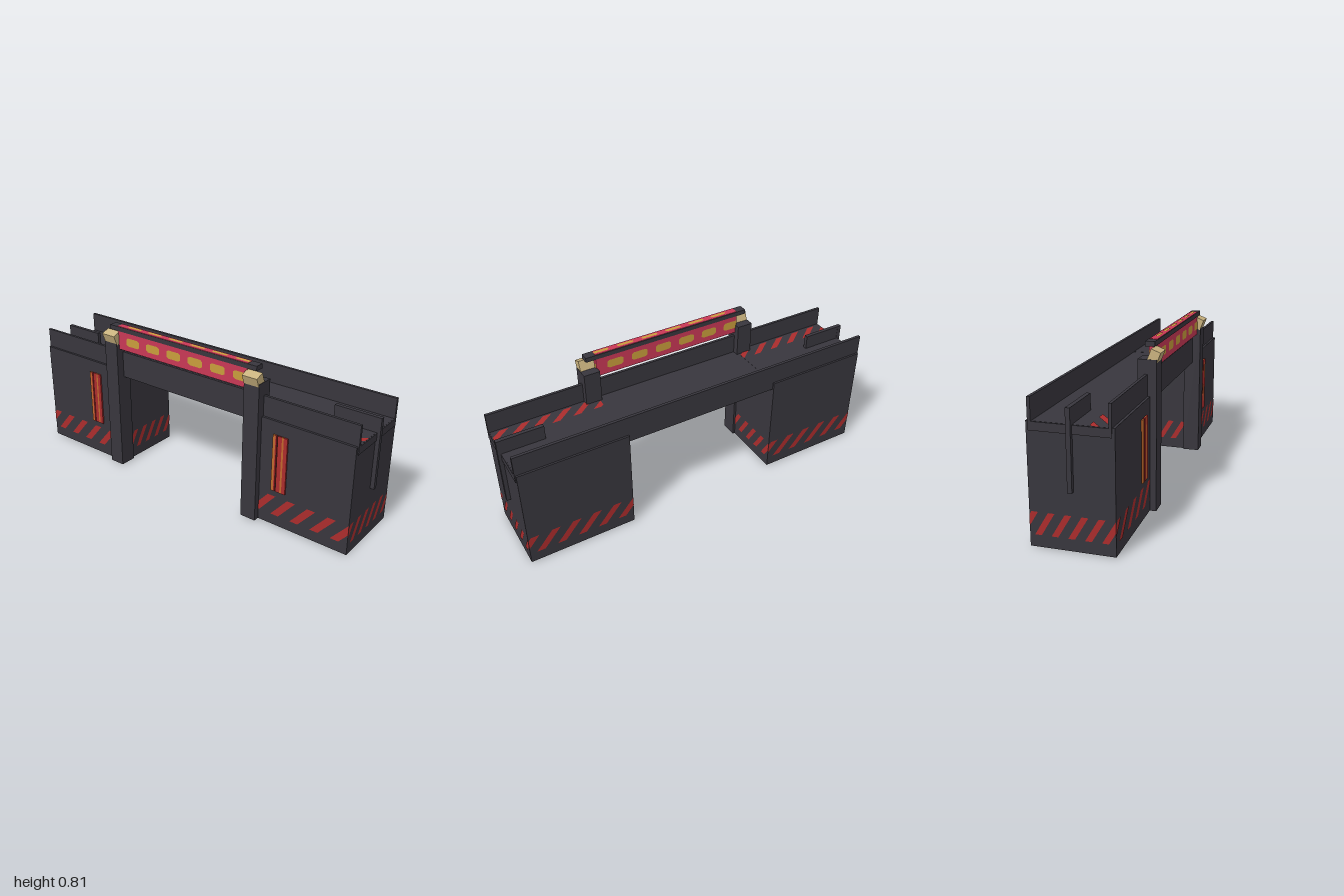
import * as THREE from 'three';

const mat = (name, color) => {
  const m = new THREE.MeshStandardMaterial({ color });
  m.name = name;
  return m;
};

// Keep the part of a polygon with u between 0 and 1
function clipU(poly) {
  for (const [edge, sign] of [[0, 1], [1, -1]]) {
    const out = [];
    poly.forEach((p, i) => {
      const q = poly[(i + 1) % poly.length];
      const dp = (p[0] - edge) * sign, dq = (q[0] - edge) * sign;
      if (dp >= 0) out.push(p);
      if (dp * dq < 0) {
        const t = dp / (dp - dq);
        out.push([edge, p[1] + (q[1] - p[1]) * t]);
      }
    });
    poly = out;
  }
  return poly;
}

// Slanted hazard stripes and sign dashes, in face coordinates from 0 to 1
const hazardStripes = [];
for (let k = -1; k < 5; k++) {
  const a = 0.061 + 0.195 * k;
  hazardStripes.push(clipU([[a, 0.1], [a + 0.078, 0.1], [a + 0.238, 0.288], [a + 0.16, 0.288]]));
}
const signDashes = [];
for (let k = 0; k < 6; k++) {
  const a = 0.073 + 0.166 * k, b = a + 0.107;
  signDashes.push(clipU([
    [a, 0.38], [a + 0.015, 0.3], [b - 0.015, 0.3], [b, 0.38],
    [b, 0.66], [b - 0.015, 0.74], [a + 0.015, 0.74], [a, 0.66],
  ]));
}

export function createModel() {
  const model = new THREE.Group();
  model.name = 'gateBridge';
  const dark = mat('charcoal', 0x38363d);
  const red = mat('hazardRed', 0xab2c2c);
  const crimson = mat('signCrimson', 0xc93856);
  const yellow = mat('signYellow', 0xc99d3c);
  const tan = mat('lampTan', 0xc9b27e);
  const orange = mat('trimOrange', 0xc0682c);

  // Box given by its minimum and maximum on each axis
  function box(name, material, x0, x1, y0, y1, z0, z1) {
    const mesh = new THREE.Mesh(new THREE.BoxGeometry(x1 - x0, y1 - y0, z1 - z0), material);
    mesh.position.set((x0 + x1) / 2, (y0 + y1) / 2, (z0 + z1) / 2);
    mesh.name = name;
    model.add(mesh);
    return mesh;
  }

  // Paint a pattern on chosen faces of a box
  function paint(target, name, material, polys, faces) {
    const { width: w, height: h, depth: d } = target.geometry.parameters;
    const frames = {
      front: [w, h, d, 0, 0], back: [w, h, d, 0, Math.PI],
      left: [d, h, w, 0, Math.PI / 2], right: [d, h, w, 0, -Math.PI / 2],
      top: [w, d, h, -Math.PI / 2, 0], bottom: [w, d, h, Math.PI / 2, 0],
    };
    for (const face of faces) {
      const [fw, fh, depth, rx, ry] = frames[face];
      const shapes = polys.map((poly) => new THREE.Shape(
        poly.map(([u, v]) => new THREE.Vector2((u - 0.5) * fw, (v - 0.5) * fh))));
      const geometry = new THREE.ShapeGeometry(shapes);
      geometry.translate(0, 0, depth / 2 + 0.0015).rotateX(rx).rotateY(ry);
      const mesh = new THREE.Mesh(geometry, material);
      mesh.name = name;
      target.add(mesh);
    }
  }
  const allFaces = ['front', 'back', 'left', 'right', 'top', 'bottom'];

  // Walkway deck with its two parapets
  box('deck', dark, -0.985, 0.985, 0.52, 0.559, -0.207, 0.157);
  box('frontParapet', dark, -0.985, 0.985, 0.52, 0.663, 0.143, 0.157);
  box('backParapet', dark, -0.985, 0.985, 0.52, 0.663, -0.207, -0.192);

  for (const s of [-1, 1]) {
    // Mirrored box
    const side = (name, m, x0, x1, ...rest) =>
      box(name, m, Math.min(s * x0, s * x1), Math.max(s * x0, s * x1), ...rest);

    // Supporting block with hazard stripes, and the front pillar
    const block = side('supportBlock', dark, 0.418, 0.98, 0, 0.56, -0.217, 0.169);
    paint(block, 'hazardStripes', red, hazardStripes, allFaces);
    side('pillar', dark, 0.405, 0.49, 0, 0.731, 0.11, 0.2);

    // Fin on the deck and the bar hanging outside
    side('deckFin', dark, 0.765, 0.985, 0.55, 0.635, -0.033, -0.013);
    side('endBar', dark, 0.978, 1, 0.27, 0.635, -0.034, -0.013);

    // Tilted lamp on the pillar
    const lamp = side('lamp', tan, 0.405, 0.488, 0.716, 0.774, 0.161, 0.209);
    lamp.rotation.x = 0.37;

    // Striped vertical panel on the block front
    const x = s * 0.603 - 0.04;
    const strips = [[0, 0.014, orange], [0.014, 0.021, red], [0.027, 0.05, red],
      [0.05, 0.06, orange], [0.06, 0.08, red]];
    for (const [a, b, m] of strips) box('panelStrip', m, x + a, x + b, 0.197, 0.495, 0.174, 0.182);
  }

  // Sign between the pillars, with its cap
  const sign = box('sign', crimson, -0.41, 0.41, 0.685, 0.785, 0.14, 0.181);
  paint(sign, 'signDashes', yellow, signDashes, ['front', 'back', 'left', 'right', 'bottom']);
  box('signCap', dark, -0.462, 0.462, 0.785, 0.809, 0.138, 0.183);
  const strip = box('signTopStrip', crimson, -0.41, 0.41, 0.808, 0.811, 0.142, 0.181);
  paint(strip, 'topDashes', yellow, signDashes, ['top']);

  return model;
}
